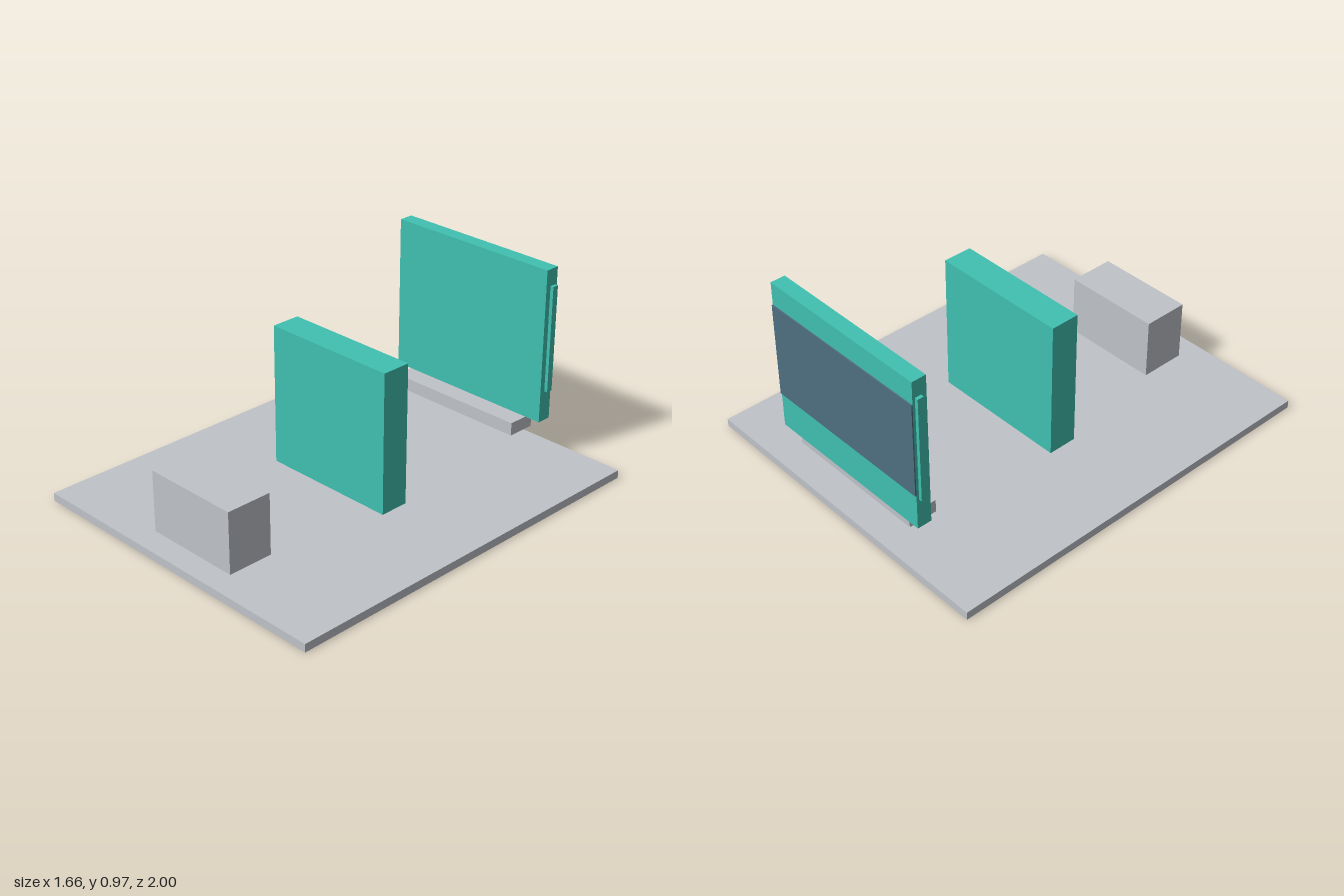
import * as THREE from 'three';

export function createModel() {
  const model = new THREE.Group();
  const paint = (name, color) => {
    const material = new THREE.MeshStandardMaterial({ color });
    material.name = name;
    return material;
  };
  const grey = paint('light grey', 0xc0c3c8);
  const teal = paint('teal', 0x40c1b2);
  const slate = paint('slate blue', 0x4f6f80);

  // Box given by its extents along each axis
  const box = (name, material, [x0, x1], [y0, y1], [z0, z1]) => {
    const mesh = new THREE.Mesh(new THREE.BoxGeometry(x1 - x0, y1 - y0, z1 - z0), material);
    mesh.position.set((x0 + x1) / 2, (y0 + y1) / 2, (z0 + z1) / 2);
    mesh.name = name;
    model.add(mesh);
    return mesh;
  };
  const rectangle = (path, w, d) =>
    path.setFromPoints([[-w, -d], [w, -d], [w, d], [-w, d]].map(([x, y]) => new THREE.Vector2(x, y)));

  // Floor slab with a slot that the middle panel passes through
  const outline = rectangle(new THREE.Shape(), 0.83, 1);
  outline.holes.push(rectangle(new THREE.Path(), 0.349, 0.073));
  const floorGeometry = new THREE.ExtrudeGeometry(outline, { depth: 0.04, bevelEnabled: false });
  floorGeometry.rotateX(-Math.PI / 2);
  const floor = new THREE.Mesh(floorGeometry, grey);
  floor.name = 'floorSlab';
  model.add(floor);

  // Free-standing pieces
  box('frontBlock', grey, [-0.247, 0.247], [0.04, 0.342], [0.65, 0.88]);
  box('middlePanel', teal, [-0.349, 0.349], [0, 0.735], [-0.073, 0.073]);

  // Rear panel, its ledge, side strips and dark back plate
  box('rearPanel', teal, [-0.456, 0.456], [0.202, 0.97], [-0.935, -0.862]);
  box('rearLedge', grey, [-0.371, 0.371], [0.135, 0.2], [-0.91, -0.766]);
  box('backPlate', slate, [-0.456, 0.456], [0.382, 0.857], [-0.941, -0.935]);
  for (const side of [-1, 1]) {
    const strip = box(side > 0 ? 'leftStrip' : 'rightStrip', teal, [0.456, 0.473], [0.355, 0.886], [-0.922, -0.89]);
    strip.position.x *= side;
  }
  return model;
}
